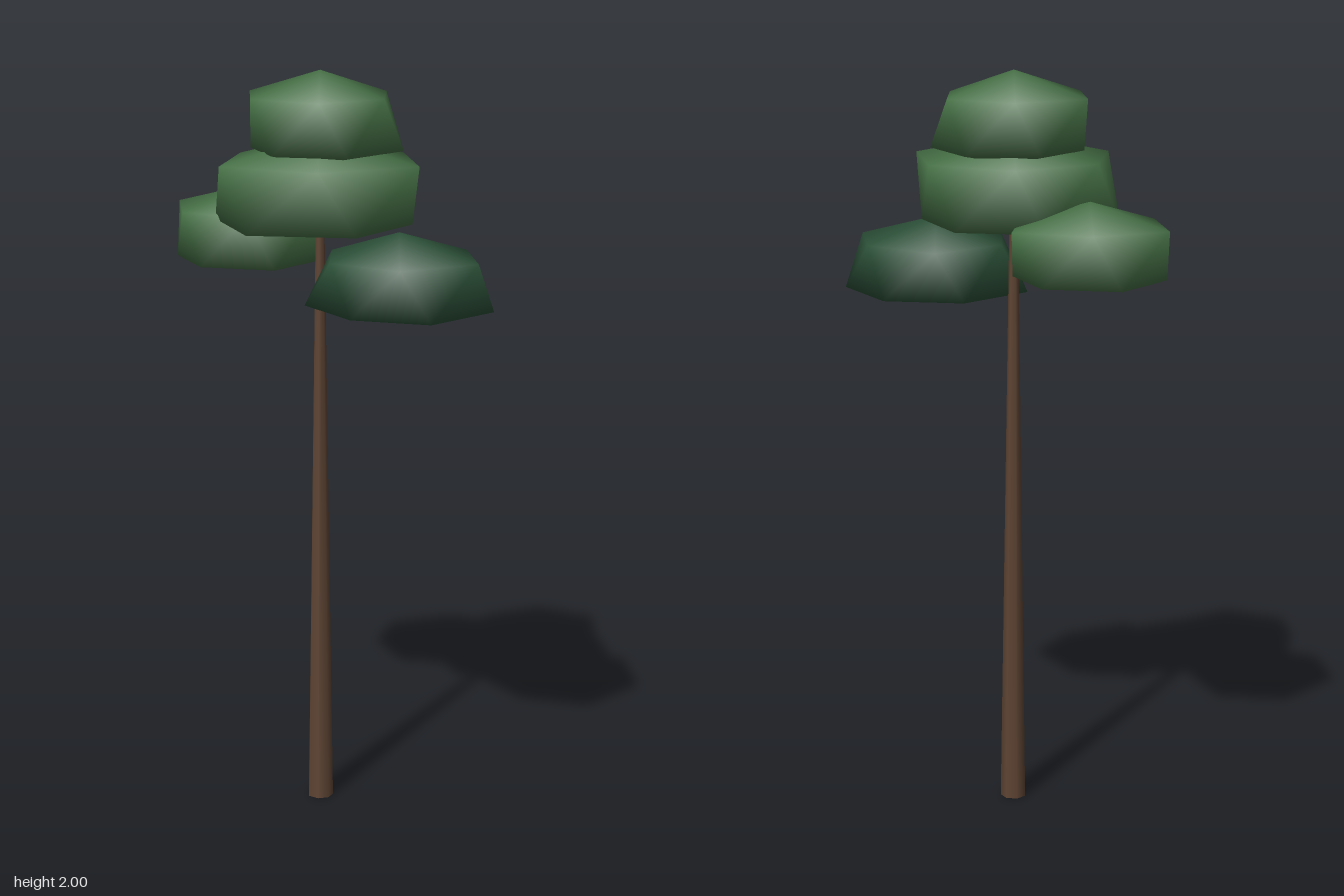
import * as THREE from 'three';

const material = (name, color) => {
  const m = new THREE.MeshStandardMaterial({ color });
  m.name = name;
  return m;
};

// Foliage clump: two twisted hexagonal rings closed by a top and a bottom point
function clump(x, z, [bottomY, lowerY, upperY, topY], lower, upper) {
  const pos = [x, bottomY, z];
  const ring = (radii, y, turn) => radii.forEach((r, k) => {
    const a = THREE.MathUtils.degToRad(turn + k * 60);
    pos.push(x + r * Math.cos(a), y, z + r * Math.sin(a));
  });
  ring(lower, lowerY, 0);
  ring(upper, upperY, 20);
  pos.push(x, topY, z);

  const index = [];
  for (let k = 0; k < 6; k++) {
    const n = (k + 1) % 6;
    const a = 1 + k, b = 1 + n, c = 7 + k, d = 7 + n;
    index.push(0, a, b, a, c, b, b, c, d, c, 13, d);
  }
  const g = new THREE.BufferGeometry();
  g.setAttribute('position', new THREE.Float32BufferAttribute(pos, 3));
  g.setIndex(index);
  g.computeVertexNormals();
  return g;
}

export function createModel() {
  const group = new THREE.Group();
  group.name = 'tree';
  const bark = material('bark brown', 0x5e4433);
  const leaf = material('leaf green', 0x467046);
  const darkLeaf = material('dark leaf green', 0x2c5038);

  const add = (name, geometry, mat) => {
    const mesh = new THREE.Mesh(geometry, mat);
    mesh.name = name;
    group.add(mesh);
  };

  // Tall tapering trunk
  const trunk = new THREE.CylinderGeometry(0.012, 0.035, 1.6, 7);
  trunk.translate(-0.025, 0.8, 0.005);
  add('trunk', trunk, bark);

  // Crown: four flattened clumps (heights, lower ring radii, upper ring radii)
  add('topFoliage', clump(-0.025, 0, [1.755, 1.795, 1.935, 2],
    [0.22, 0.21, 0.19, 0.185, 0.19, 0.2],
    [0.19, 0.198, 0.205, 0.215, 0.2, 0.2]), leaf);
  add('middleFoliage', clump(-0.025, 0.005, [1.57, 1.605, 1.77, 1.835],
    [0.245, 0.275, 0.288, 0.28, 0.22, 0.242],
    [0.295, 0.263, 0.295, 0.245, 0.245, 0.255]), leaf);
  add('rightFoliage', clump(-0.24, -0.12, [1.455, 1.482, 1.62, 1.68],
    [0.2, 0.21, 0.195, 0.2, 0.208, 0.2],
    [0.2, 0.19, 0.2, 0.225, 0.19, 0.235]), leaf);
  add('leftFoliage', clump(0.2, 0.1, [1.365, 1.4, 1.537, 1.6],
    [0.248, 0.225, 0.196, 0.248, 0.215, 0.215],
    [0.23, 0.215, 0.205, 0.2, 0.232, 0.206]), darkLeaf);

  return group;
}
